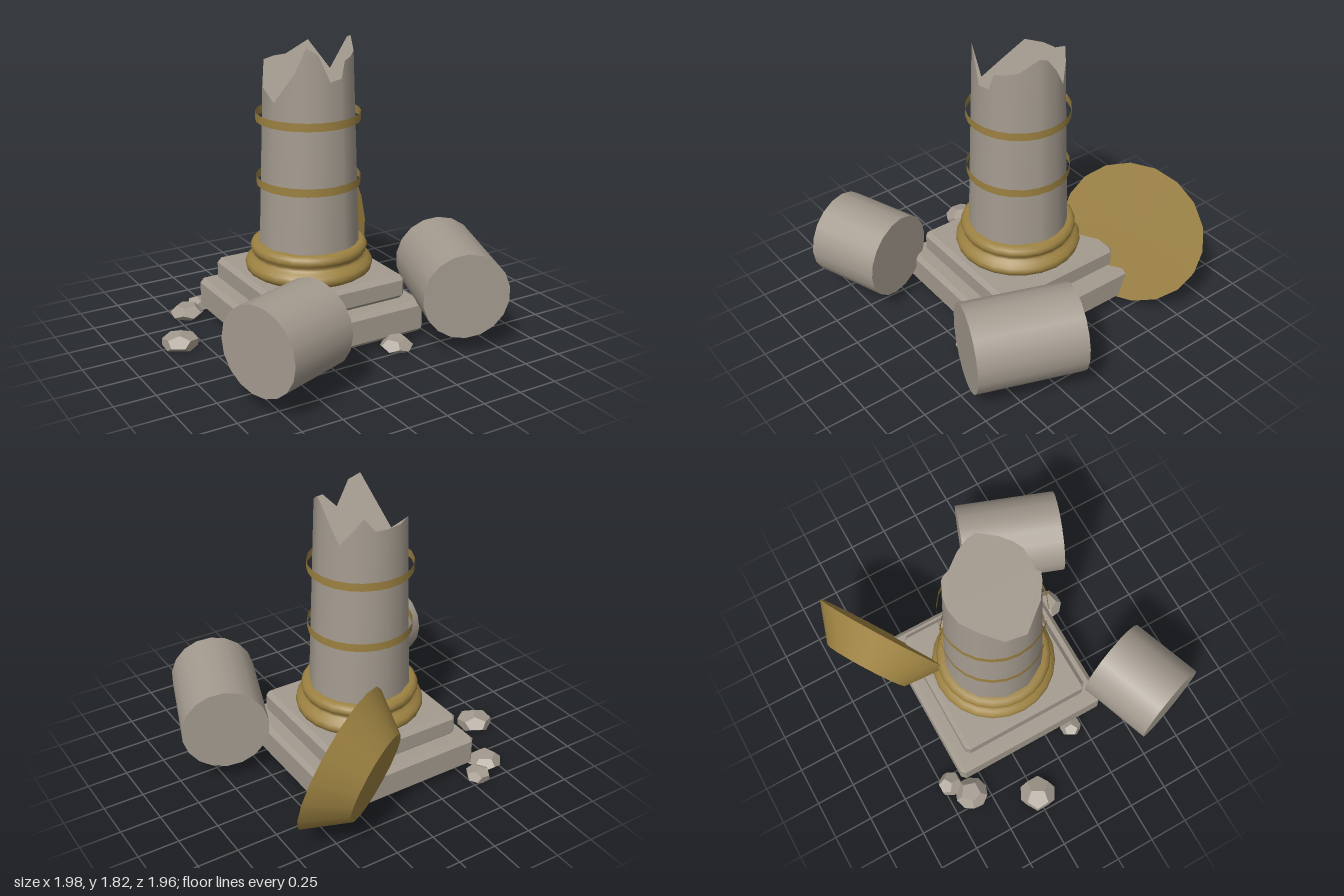
import * as THREE from 'three';
import { ConvexGeometry } from 'three/addons/geometries/ConvexGeometry.js';

const CX = -0.072, CZ = -0.105; // column axis

export function createModel() {
  const model = new THREE.Group();
  model.name = 'ruinedColumn';
  const stone = new THREE.MeshStandardMaterial({ color: 0xa49b8f, side: THREE.DoubleSide });
  stone.name = 'weathered stone';
  const gold = new THREE.MeshStandardMaterial({ color: 0x9c8141, side: THREE.DoubleSide });
  gold.name = 'old gold';

  const add = (name, geometry, material, x = 0, y = 0, z = 0) => {
    const mesh = new THREE.Mesh(geometry, material);
    mesh.name = name;
    mesh.position.set(x, y, z);
    model.add(mesh);
    return mesh;
  };

  // Square slab with every edge chamfered
  const slab = (w, h, c) => {
    const pts = [];
    for (const sx of [-1, 1]) for (const sy of [-1, 1]) for (const sz of [-1, 1]) {
      const full = [sx * w / 2, sy * h / 2, sz * w / 2];
      const inset = [sx * (w / 2 - c), sy * (h / 2 - c), sz * (w / 2 - c)];
      for (let k = 0; k < 3; k++) {
        const p = inset.slice();
        p[k] = full[k];
        pts.push(new THREE.Vector3(...p));
      }
    }
    return new ConvexGeometry(pts);
  };
  add('lowerPlinth', slab(1.03, 0.205, 0.027), stone, CX, 0.1475, CZ);
  add('upperPlinth', slab(0.86, 0.15, 0.027), stone, CX, 0.325, CZ);

  // Moulded column base: large roll, cove, small roll
  const profile = [
    [0.001, 0.4], [0.36, 0.4], [0.382, 0.415], [0.39, 0.44], [0.384, 0.465], [0.36, 0.485],
    [0.34, 0.5], [0.337, 0.515], [0.35, 0.53], [0.357, 0.55], [0.35, 0.573], [0.33, 0.59], [0.29, 0.59],
  ];
  add('columnBase', new THREE.LatheGeometry(profile.map(p => new THREE.Vector2(...p)), 24), gold, CX, 0, CZ);

  // Tapered shaft, broken off along a jagged rim: [angle in degrees, height]
  const rim = [
    [0, 1.8], [11, 1.82], [37, 1.75], [55, 1.73], [68, 1.72], [75, 1.62], [92, 1.61], [107, 1.77],
    [122, 1.81], [135, 1.67], [165, 1.48], [195, 1.55], [225, 1.68], [250, 1.68], [270, 1.68],
    [286, 1.68], [300, 1.76], [311, 1.69], [329, 1.59], [345, 1.71],
  ];
  const ringPoint = (deg, y) => {
    const a = THREE.MathUtils.degToRad(deg);
    const r = 0.306 - 0.034 * (y - 0.59);
    return [r * Math.cos(a), y, r * Math.sin(a)];
  };
  const n = rim.length;
  const sidePos = [], sideIdx = [], topPos = [];
  rim.forEach(([deg, y], i) => {
    sidePos.push(...ringPoint(deg, 0.57), ...ringPoint(deg, y));
    topPos.push(...ringPoint(deg, y));
    const j = (i + 1) % n;
    sideIdx.push(2 * i, 2 * i + 1, 2 * j, 2 * j, 2 * i + 1, 2 * j + 1);
  });
  const side = new THREE.BufferGeometry();
  side.setAttribute('position', new THREE.Float32BufferAttribute(sidePos, 3));
  side.setIndex(sideIdx);
  side.computeVertexNormals();
  add('shaft', side, stone, CX, 0, CZ);

  // Broken surface stretched across the rim
  const outline = rim.map(([deg, y]) => {
    const p = ringPoint(deg, y);
    return new THREE.Vector2(p[0], p[2]);
  });
  const top = new THREE.BufferGeometry();
  top.setAttribute('position', new THREE.Float32BufferAttribute(topPos, 3));
  top.setAttribute('normal', new THREE.Float32BufferAttribute(rim.flatMap(() => [0, 1, 0]), 3));
  top.setIndex(THREE.ShapeUtils.triangulateShape(outline, []).flatMap(([a, b, c]) => [a, c, b]));
  add('brokenTop', top, stone, CX, 0, CZ);

  // Loose bands around the shaft
  for (const [name, y] of [['lowerBand', 0.975], ['upperBand', 1.365]]) {
    add(name, new THREE.CylinderGeometry(0.313, 0.313, 0.05, 24, 1, true), gold, CX, y, CZ);
  }

  // Fallen parts: cylinder whose top end points along a direction
  const up = new THREE.Vector3(0, 1, 0);
  const fallen = (name, rTop, rBottom, length, material, pos, dir) => {
    const mesh = add(name, new THREE.CylinderGeometry(rTop, rBottom, length, 18), material, ...pos);
    mesh.quaternion.setFromUnitVectors(up, new THREE.Vector3(...dir).normalize());
  };
  fallen('fallenDrumRight', 0.265, 0.265, 0.473, stone, [-0.638, 0.37, 0.648], [0.445, 0, -0.16]);
  fallen('fallenDrumLeft', 0.265, 0.265, 0.655, stone, [0.632, 0.37, 0.41], [-0.225, 0, 0.615]);

  // Fallen capital leaning on the plinth corner
  const axis = [0.493, 0.28, 0.824], h = 0.23;
  const mouth = [0.4, 0.49, -0.635];
  fallen('fallenCapital', 0.457, 0.28, h, gold, mouth.map((v, i) => v - axis[i] * h / 2), axis);

  // Rubble: [x, z, radius, height], flattened on the ground
  const rubble = [
    [-0.68, -0.61, 0.102, 0.09], [-0.56, -0.7, 0.078, 0.08], [-0.89, -0.24, 0.112, 0.09],
    [-0.61, 0.17, 0.068, 0.07], [0.205, 0.46, 0.098, 0.09],
  ];
  rubble.forEach(([x, z, r, height], i) => {
    const g = new THREE.DodecahedronGeometry(r * 1.04, 0);
    g.rotateX(0.5 + i * 1.3).rotateY(i * 2.1);
    const p = g.attributes.position;
    for (let k = 0; k < p.count; k++) {
      p.setY(k, Math.max(0, p.getY(k) * 0.62 / r * height + height * 0.38));
    }
    g.computeVertexNormals();
    add('rubble' + (i + 1), g, stone, x, 0, z);
  });

  return model;
}
